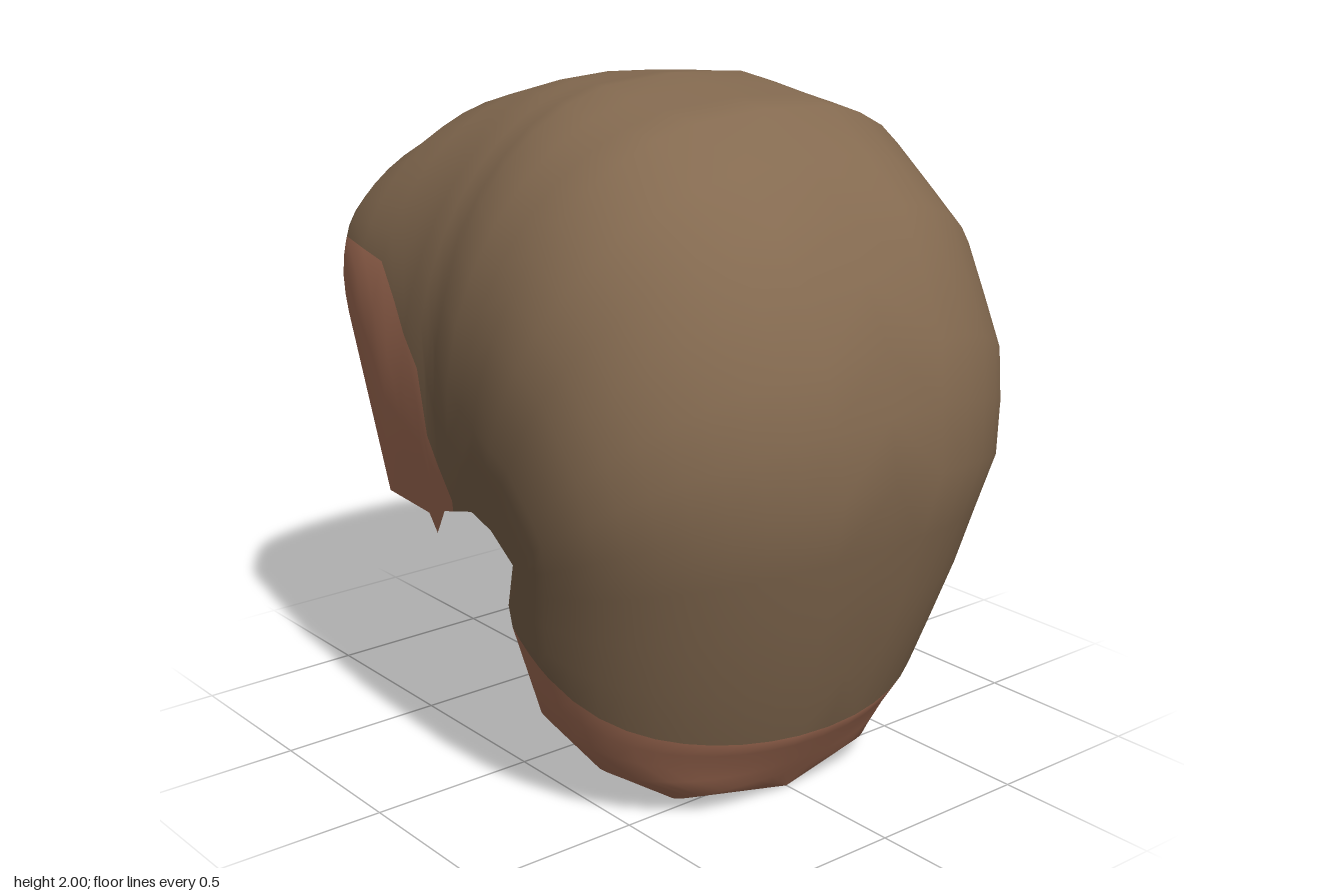
import * as THREE from 'three';

// The shell is 31 ribs (0 = rear tip, 30 = lower front tip), each from midline to rim.
// Midline profile: [rib, z, y]
const MIDLINE = [
  [0, -1, 1.43], [2, -0.95, 1.53], [3, -0.8, 1.71], [5, -0.51, 1.89], [7, -0.22, 1.97],
  [11, 0.09, 2], [14, 0.47, 1.94], [16, 0.77, 1.71], [18, 0.95, 1.38], [20, 1, 1.02],
  [22, 0.9, 0.63], [24, 0.77, 0.25], [30, 0.6, 0],
];
// Open rim: [rib, z, y, x]
const RIM = [
  [0, -1, 1.43, 0], [1, -0.94, 1.415, 0.36], [2, -0.85, 1.39, 0.5], [4, -0.71, 1.25, 0.61],
  [7, -0.43, 0.77, 0.66], [9, -0.19, 0.77, 0.68], [10, -0.15, 0.72, 0.68], [11, -0.08, 0.81, 0.7],
  [14, 0.1, 0.865, 0.73], [16, 0.2, 0.84, 0.735], [19, 0.3, 0.77, 0.735], [22, 0.24, 0.63, 0.71],
  [24, 0.235, 0.56, 0.695], [26, 0.26, 0.29, 0.62], [27, 0.38, 0.13, 0.51],
  [28, 0.52, 0.045, 0.36], [30, 0.6, 0, 0],
];
// Colour border as a share of the rib: [rib, share]
const BORDER = [
  [0, 0.9], [1, 0.9], [2, 0.76], [4, 0.57], [6, 0.47], [7, 0.5],
  [9, 0.63], [11, 0.88], [12, 0.97], [14, 0.75], [30, 0.75],
];
const LAST_RIB = 30;
const REAR_END = 12;    // last rib of the rear patches
const FRONT_START = 24; // first rib of the lower front band
const SPLIT = 10;       // column where the rear patches begin
const HALF = 14;        // columns on each side of the midline

// Straight interpolation between keyed points
function sample(keys, rib) {
  const k = Math.max(1, keys.findIndex((key) => key[0] >= rib));
  const a = keys[k - 1], b = keys[k];
  const f = (rib - a[0]) / (b[0] - a[0]);
  return a.slice(1).map((v, i) => THREE.MathUtils.lerp(v, b[i + 1], f));
}

// Point on a rib; negative columns lie on the model's right
function shellPoint(rib, column) {
  const [mz, my] = sample(MIDLINE, rib);
  const [ez, ey, ex] = sample(RIM, rib);
  const [share] = sample(BORDER, rib);
  const k = Math.abs(column);
  const s = k <= SPLIT
    ? share * (k / SPLIT) ** 1.8
    : share + (1 - share) * (k - SPLIT) / (HALF - SPLIT);
  // ribs are squarest and fullest over the crown
  const fullness = Math.sin(Math.PI * Math.min(rib / FRONT_START, 1));
  const n = 2 + fullness;
  const wave = Math.sin(Math.PI * s);
  const sag = 0.05 * Math.max(0, 1 - Math.abs(rib - FRONT_START) / 3);
  const x = ex * (1 - (1 - s) ** n) ** (1 / n) + 0.08 * fullness * wave;
  return [Math.sign(column) * x, my + (ey - my) * s - sag * wave, mz + (ez - mz) * s];
}

export function createModel() {
  const brown = new THREE.MeshStandardMaterial({ color: 0x846a50, side: THREE.DoubleSide });
  brown.name = 'brown';
  const skin = new THREE.MeshStandardMaterial({ color: 0xaf755b, side: THREE.DoubleSide });
  skin.name = 'skin';

  const positions = [];
  for (let rib = 0; rib <= LAST_RIB; rib++) {
    for (let c = -HALF; c <= HALF; c++) positions.push(...shellPoint(rib, c));
  }

  // Sort the shell's faces into the main cap, rear patches and front band
  const cap = [], rear = [], front = [];
  const cols = 2 * HALF + 1;
  for (let rib = 0; rib < LAST_RIB; rib++) {
    for (let c = 0; c < cols - 1; c++) {
      const a = rib * cols + c, b = a + cols;
      const outer = c < HALF - SPLIT || c >= HALF + SPLIT;
      const part = rib >= FRONT_START ? front : outer && rib < REAR_END ? rear : cap;
      // mirrored diagonals keep both halves alike
      if (c < HALF) part.push(a, b, a + 1, b, b + 1, a + 1);
      else part.push(a, b, b + 1, a, b + 1, a + 1);
    }
  }

  // Normals come from the whole shell so the parts join smoothly
  const shell = new THREE.BufferGeometry();
  shell.setAttribute('position', new THREE.Float32BufferAttribute(positions, 3));
  shell.setIndex([...cap, ...rear, ...front]);
  shell.computeVertexNormals();

  const group = new THREE.Group();
  group.name = 'headShell';
  const addPart = (name, index, material) => {
    const geometry = shell.clone();
    geometry.setIndex(index);
    const mesh = new THREE.Mesh(geometry, material);
    mesh.name = name;
    group.add(mesh);
  };
  addPart('cap', cap, brown);
  addPart('rearSidePatches', rear, skin);
  addPart('lowerFrontBand', front, skin);
  return group;
}
